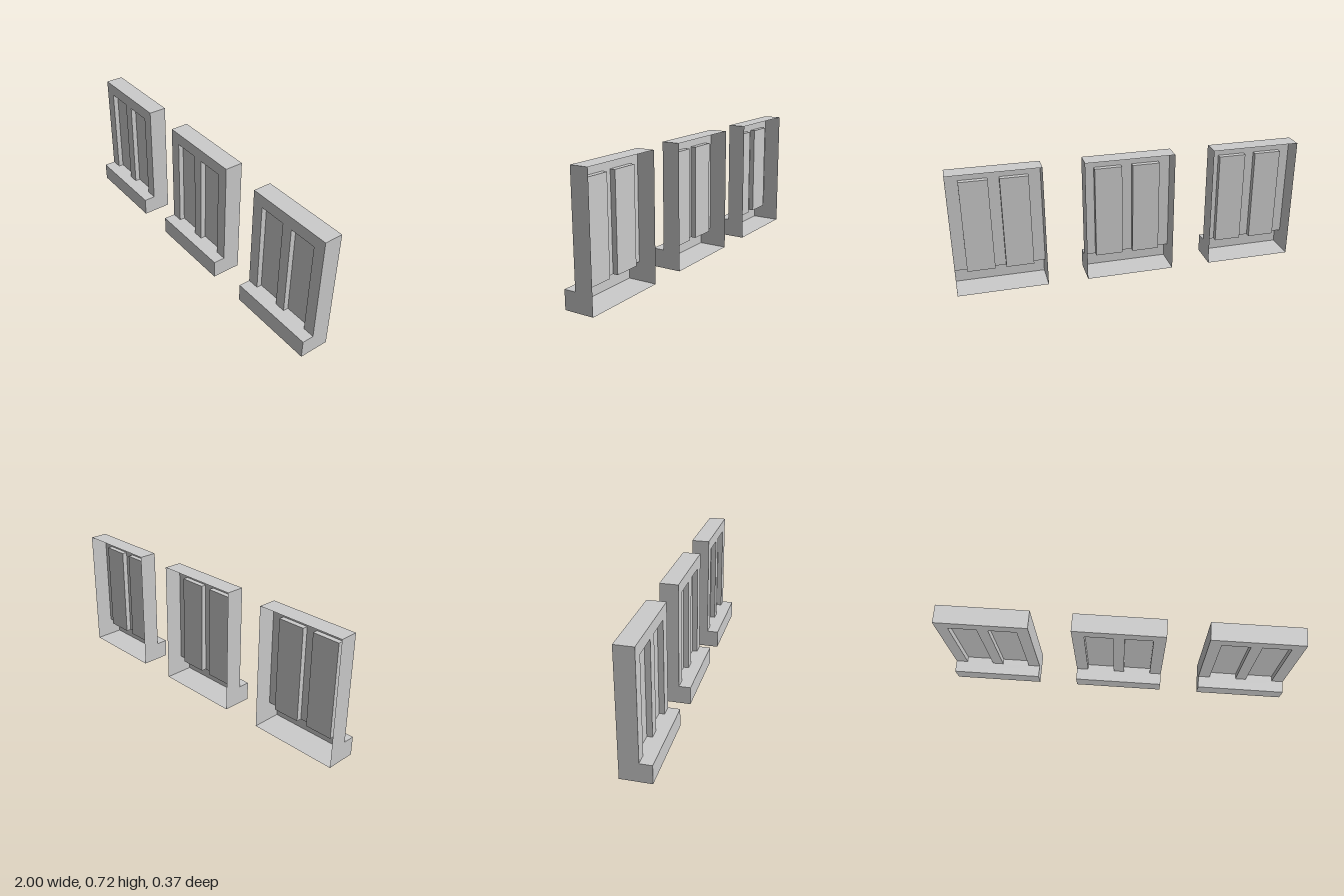
import * as THREE from 'three';

const W = 0.511, H = 0.716;              // unit width and height
const BACK = -0.0855, WALL = 0.0185, FRONT = 0.0855; // z of open back, wall face, plinth face
const STEP = 0.106;                      // plinth height
const PANEL_IN = 0.031, PANEL_OUT = 0.188, PANEL_TOP = 0.647, RECESS = 0.03;

// thin open shell, so both sides show
const material = new THREE.MeshStandardMaterial({ color: 0xcccccc, side: THREE.DoubleSide, flatShading: true });

function add(group, name, geometry, x = 0, y = 0, z = 0, rx = 0, ry = 0) {
  const mesh = new THREE.Mesh(geometry, material);
  mesh.name = name;
  mesh.position.set(x, y, z);
  mesh.rotation.set(rx, ry, 0);
  group.add(mesh);
}

const polygon = (points) => new THREE.ShapeGeometry(new THREE.Shape(points.map(([x, y]) => new THREE.Vector2(x, y))));

// horizontal sheet between two depths; up = 1 faces up, -1 faces down
function sheet(group, name, w, x, y, z0, z1, up = 1) {
  add(group, name, new THREE.PlaneGeometry(w, z1 - z0), x, y, (z0 + z1) / 2, -up * Math.PI / 2);
}

function createUnit() {
  const unit = new THREE.Group();
  unit.name = 'panelledBlock';

  // front wall, cut around the two panel openings that stand on the ledge
  add(unit, 'frontWall', polygon([
    [-W / 2, STEP], [-PANEL_OUT, STEP], [-PANEL_OUT, PANEL_TOP], [-PANEL_IN, PANEL_TOP], [-PANEL_IN, STEP],
    [PANEL_IN, STEP], [PANEL_IN, PANEL_TOP], [PANEL_OUT, PANEL_TOP], [PANEL_OUT, STEP],
    [W / 2, STEP], [W / 2, H], [-W / 2, H],
  ]), 0, 0, WALL);

  // plinth, floor and top
  add(unit, 'plinthFront', new THREE.PlaneGeometry(W, STEP), 0, STEP / 2, FRONT);
  sheet(unit, 'ledge', W, 0, STEP, WALL, FRONT);
  sheet(unit, 'top', W, 0, H, BACK, WALL);
  sheet(unit, 'floor', W, 0, 0, BACK, FRONT, -1);

  for (const side of [-1, 1]) {
    // stepped end wall
    const profile = [[BACK, 0], [FRONT, 0], [FRONT, STEP], [WALL, STEP], [WALL, H], [BACK, H]];
    add(unit, 'endWall', polygon(profile.map(([z, y]) => [-side * z, y])), side * W / 2, 0, 0, 0, side * Math.PI / 2);

    // recessed panel
    const w = PANEL_OUT - PANEL_IN, h = PANEL_TOP - STEP;
    const x = side * (PANEL_IN + PANEL_OUT) / 2, y = STEP + h / 2;
    add(unit, 'panel', new THREE.PlaneGeometry(w, h), x, y, WALL - RECESS);
    sheet(unit, 'recessSill', w, x, STEP, WALL - RECESS, WALL);
    sheet(unit, 'recessHead', w, x, PANEL_TOP, WALL - RECESS, WALL, -1);
    for (const jamb of [-1, 1]) {
      add(unit, 'recessJamb', new THREE.PlaneGeometry(RECESS, h), x + jamb * w / 2, y, WALL - RECESS / 2, 0, -jamb * Math.PI / 2);
    }
  }
  return unit;
}

export function createModel() {
  const model = new THREE.Group();
  model.name = 'panelledBlockRow';

  // three equal units in a slightly turned row
  const row = new THREE.Group();
  row.name = 'row';
  row.rotation.y = -0.1;
  for (const i of [-1, 0, 1]) {
    const unit = createUnit();
    unit.position.x = i * 0.741;
    row.add(unit);
  }
  model.add(row);
  return model;
}
